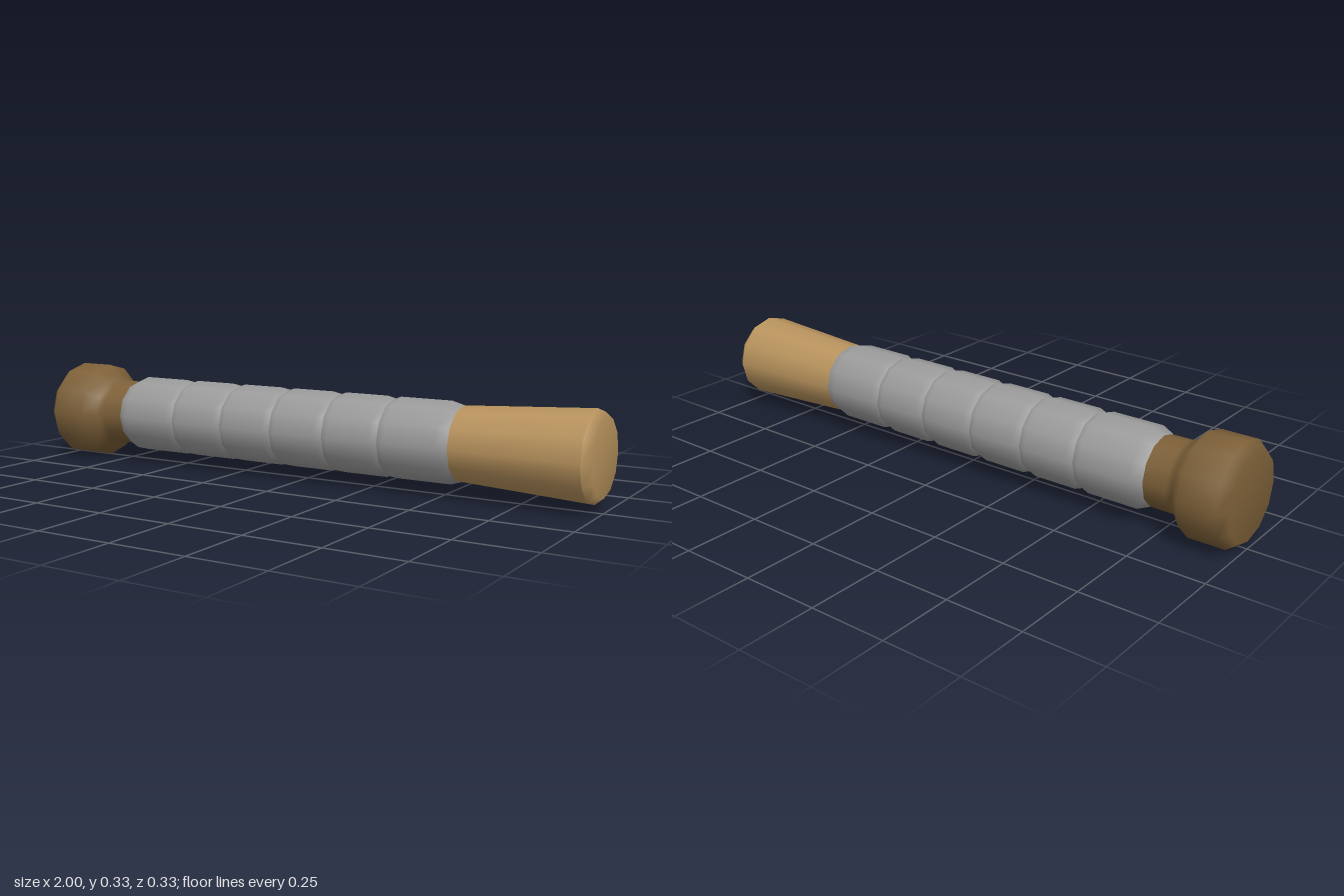
import * as THREE from 'three';

const SIDES = 12;
const AXIS_Y = 0.165;

// Lathe a list of [x, radius] pairs around the long (x) axis.
function turned(name, profile, material) {
  const points = profile.map(([x, r]) => new THREE.Vector2(r, x));
  const geometry = new THREE.LatheGeometry(points, SIDES);
  geometry.rotateZ(-Math.PI / 2);
  const mesh = new THREE.Mesh(geometry, material);
  mesh.name = name;
  mesh.position.y = AXIS_Y;
  return mesh;
}

export function createModel() {
  const group = new THREE.Group();
  group.name = 'handle';
  const grey = new THREE.MeshStandardMaterial({ color: 0x9b9b9b });
  const bronze = new THREE.MeshStandardMaterial({ color: 0x7e6139 });
  const brass = new THREE.MeshStandardMaterial({ color: 0xb8935d });

  // Flared pommel, filleted into its neck
  group.add(turned('pommel', [
    [-1, 0], [-1, 0.14], [-0.97, 0.165], [-0.85, 0.165],
    [-0.81, 0.122], [-0.785, 0.113], [-0.7, 0.112],
  ], bronze));

  // Six bevelled grip rings; the outer two are longer, with deeper bevels
  const seams = [-0.71, -0.473, -0.275, -0.077, 0.121, 0.319, 0.557];
  const grip = new THREE.Group();
  grip.name = 'grip';
  for (let i = 0; i < 6; i++) {
    const a = seams[i], b = seams[i + 1];
    const first = i === 0, last = i === 5;
    grip.add(turned('gripRing', [
      [a, first ? 0.113 : 0.122],
      [a + (first ? 0.04 : 0.024), 0.131],
      [b - (last ? 0.04 : 0.024), 0.131],
      [b, last ? 0.119 : 0.122],
    ], grey));
  }
  group.add(grip);

  // Tapered end, with a separate cap so its rim stays sharp
  group.add(turned('taperedEnd', [[0.55, 0.119], [0.973, 0.142]], brass));
  group.add(turned('endCap', [[0.973, 0.142], [1, 0.12], [1, 0]], brass));

  return group;
}
